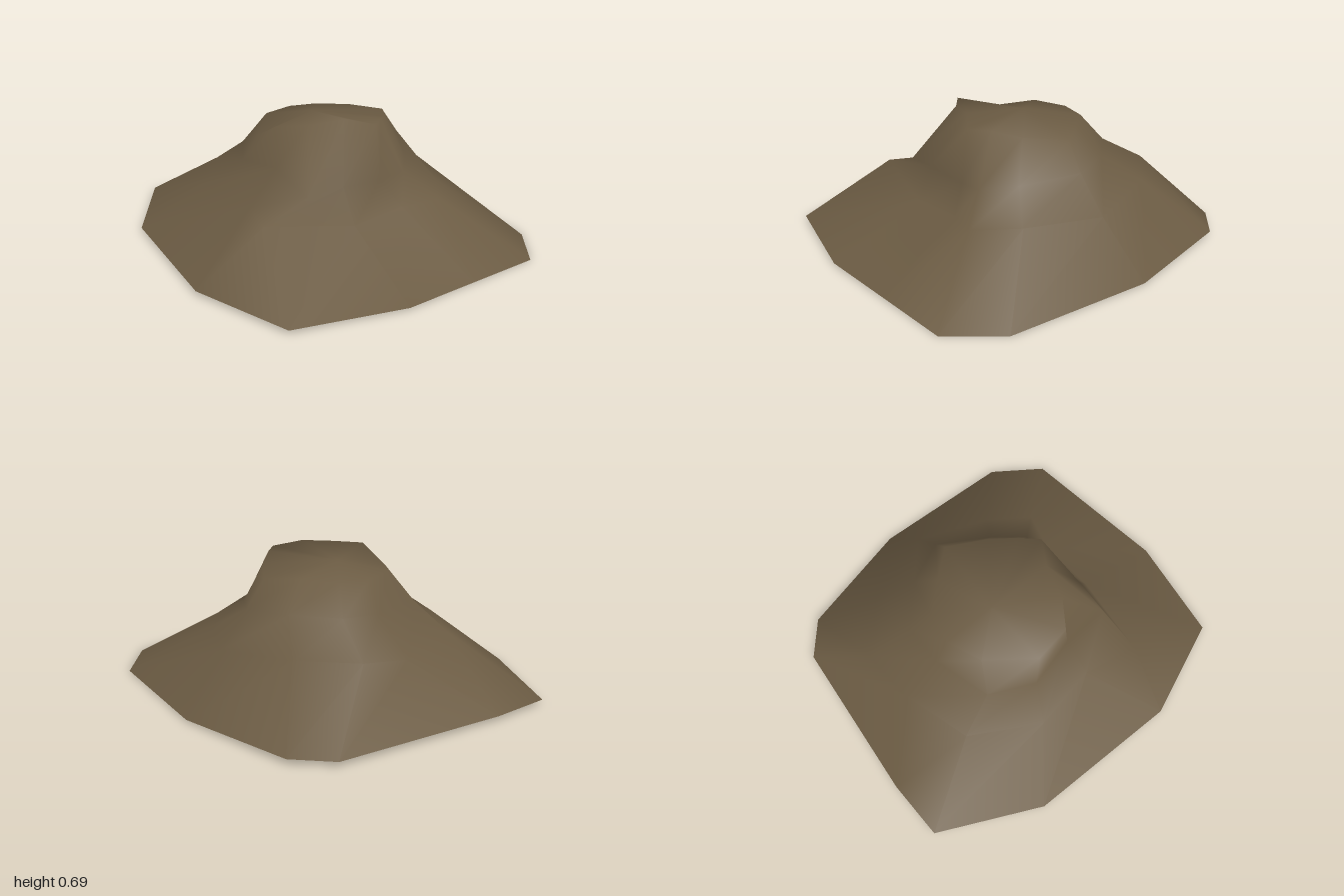
import * as THREE from 'three';

// Contour rings from the ground up; each has twelve [x, y, z] points,
// starting at the +x side and turning towards +z.
const foot = [
  [0.905, 0.01, -0.18], [0.9, 0, 0.59], [0.725, 0, 0.855], [0.31, 0.005, 0.925],
  [-0.1, 0.01, 0.995], [-0.67, 0.02, 0.93], [-0.895, 0.02, 0.41], [-0.905, 0.02, -0.43],
  [-0.66, 0.03, -0.98], [-0.34, 0.03, -1], [0.55, 0.03, -0.955], [0.725, 0.03, -0.81],
];
const shoulder = [
  [0.67, 0.29, -0.1], [0.54, 0.28, 0.28], [0.4, 0.27, 0.5], [0.2, 0.25, 0.46],
  [-0.1, 0.22, 0.5], [-0.56, 0.29, 0.45], [-0.51, 0.27, 0.16], [-0.59, 0.3, -0.2],
  [-0.4, 0.31, -0.56], [-0.03, 0.28, -0.68], [0.25, 0.33, -0.71], [0.5, 0.33, -0.5],
];
const cliff = [
  [0.51, 0.47, -0.08], [0.38, 0.42, 0.2], [0.27, 0.4, 0.36], [0.12, 0.38, 0.37],
  [-0.12, 0.4, 0.42], [-0.32, 0.38, 0.42], [-0.35, 0.45, 0.14], [-0.42, 0.43, -0.12],
  [-0.32, 0.45, -0.36], [-0.02, 0.45, -0.46], [0.2, 0.47, -0.47], [0.4, 0.48, -0.3],
];
const rim = [
  [0.41, 0.61, -0.08], [0.3, 0.63, 0.12], [0.2, 0.66, 0.24], [0.12, 0.66, 0.33],
  [-0.02, 0.69, 0.25], [-0.2, 0.67, 0.21], [-0.34, 0.66, 0.12], [-0.36, 0.57, -0.06],
  [-0.2, 0.61, -0.3], [-0.02, 0.61, -0.38], [0.14, 0.61, -0.36], [0.28, 0.62, -0.22],
];
const summit = [-0.02, 0.65, -0.1];

// Joins the rings into an open shell and closes it at the summit.
function shellFromRings(rings, top) {
  const n = rings[0].length;
  const index = [];
  for (let r = 0; r < rings.length; r++) {
    for (let i = 0; i < n; i++) {
      const a = r * n + i;
      const b = r * n + ((i + 1) % n);
      if (r === rings.length - 1) index.push(rings.length * n, b, a);
      else index.push(a, a + n, b, b, a + n, b + n);
    }
  }
  const geometry = new THREE.BufferGeometry();
  const points = [...rings.flat(), top].flat();
  geometry.setAttribute('position', new THREE.Float32BufferAttribute(points, 3));
  geometry.setIndex(index);
  geometry.computeVertexNormals();
  return geometry;
}

export function createModel() {
  const group = new THREE.Group();
  group.name = 'rockyHill';

  const brownRock = new THREE.MeshStandardMaterial({ color: 0x6b5b43, side: THREE.DoubleSide });
  brownRock.name = 'brownRock';

  // Hollow hill, open underneath
  const hill = new THREE.Mesh(shellFromRings([foot, shoulder, cliff, rim], summit), brownRock);
  hill.name = 'hillShell';
  group.add(hill);

  return group;
}
